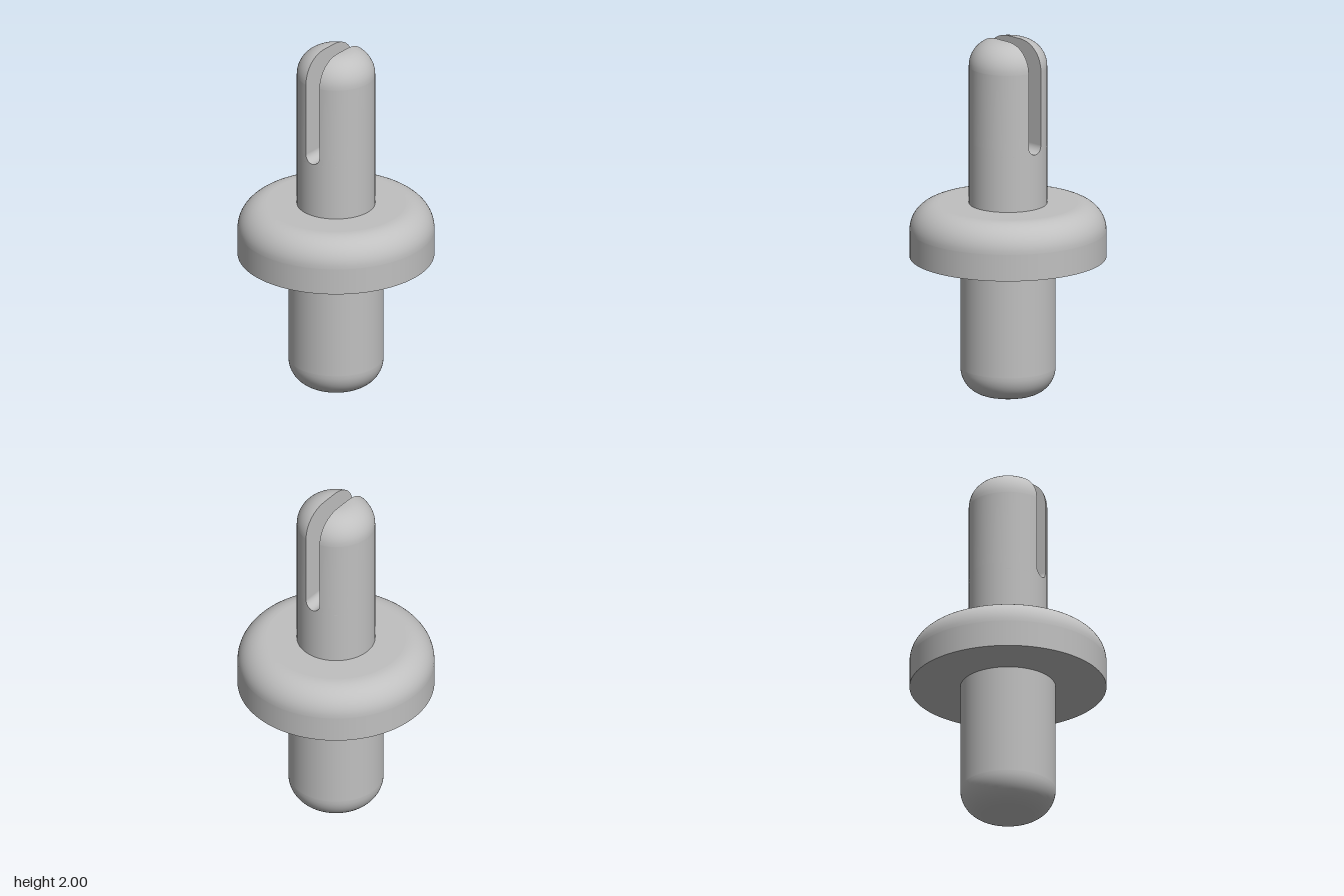
import * as THREE from 'three';

const PIN_R = 0.26, FLANGE_R = 0.537, SHAFT_R = 0.214;
const FLANGE_Y = 0.773, FLANGE_TOP = 1.076, TOP = 2, FILLET = 0.152;
const SLOT_W = 0.046, SLOT_Y = 1.43; // slot half width, centre of its round end

const V2 = (x, y) => new THREE.Vector2(x, y);

// Quarter circle of profile points around (cx, cy)
function arc(cx, cy, r, from, n = 14) {
  return Array.from({ length: n + 1 }, (_, i) => {
    const t = from + (i / n) * Math.PI / 2;
    return V2(cx + r * Math.cos(t), cy + r * Math.sin(t));
  });
}

// Smooth surface through rows of points
function loft(rows) {
  const n = rows[0].length, index = [];
  for (let i = 0; i < rows.length - 1; i++)
    for (let j = 0; j < n - 1; j++) {
      const a = i * n + j, b = a + n;
      index.push(a, b, a + 1, b, b + 1, a + 1);
    }
  const g = new THREE.BufferGeometry().setFromPoints(rows.flat());
  g.setIndex(index);
  g.computeVertexNormals();
  return g;
}

export function createModel() {
  const model = new THREE.Group();
  model.name = 'slottedPin';
  const grey = new THREE.MeshStandardMaterial({ color: 0xc0c0c0 });
  grey.name = 'grey';

  const add = (parent, name, geometry) => {
    const mesh = new THREE.Mesh(geometry, grey);
    mesh.name = name;
    parent.add(mesh);
  };
  const turned = (name, points) => add(model, name, new THREE.LatheGeometry(points, 96));

  // Lower pin with rounded foot
  turned('lowerPin', [V2(0, 0), V2(PIN_R - FILLET - 0.003, 0),
    ...arc(PIN_R - FILLET, FILLET, FILLET, -Math.PI / 2),
    V2(PIN_R, FILLET + 0.003), V2(PIN_R, FLANGE_Y)]);

  // Flange: flat underside, rounded upper rim
  turned('flangeUnderside', [V2(PIN_R, FLANGE_Y), V2(FLANGE_R, FLANGE_Y)]);
  turned('flange', [V2(FLANGE_R, FLANGE_Y), V2(FLANGE_R, FLANGE_TOP - FILLET - 0.003),
    ...arc(FLANGE_R - FILLET, FLANGE_TOP - FILLET, FILLET, 0),
    V2(FLANGE_R - FILLET - 0.003, FLANGE_TOP), V2(SHAFT_R, FLANGE_TOP)]);

  // Solid part of the upper shaft
  turned('upperShaft', [V2(SHAFT_R, FLANGE_TOP), V2(SHAFT_R, SLOT_Y - SLOT_W)]);

  // Prong sections: y, outer radius r, distance h of the slot wall from the middle
  const sections = [];
  for (let i = 0; i <= 12; i++) {
    const t = (i / 12) * Math.PI / 2;
    sections.push({ y: SLOT_Y - SLOT_W * Math.cos(t), r: SHAFT_R, h: SLOT_W * Math.sin(t) });
  }
  for (const p of [V2(SHAFT_R, TOP - FILLET - 0.003), ...arc(SHAFT_R - FILLET, TOP - FILLET, FILLET, 0)])
    sections.push({ y: p.y, r: p.x, h: SLOT_W });

  const N = 48;
  const outerRow = ({ y, r, h }) => {
    const a = Math.acos(h / r);
    return Array.from({ length: N + 1 }, (_, j) => {
      const t = a * (2 * j / N - 1);
      return new THREE.Vector3(r * Math.cos(t), y, r * Math.sin(t));
    });
  };
  const wallRow = (s) => outerRow(s).reverse().map((p) => new THREE.Vector3(s.h, p.y, p.z));
  const end = sections[sections.length - 1];

  // Two prongs, one each side of the slot
  ['leftProng', 'rightProng'].forEach((name, i) => {
    const prong = new THREE.Group();
    prong.name = name;
    prong.rotation.y = i * Math.PI;
    add(prong, 'prongOuter', loft(sections.map(outerRow)));
    add(prong, 'slotWall', loft(sections.map(wallRow)));
    add(prong, 'prongTip', loft([wallRow(end), outerRow(end).reverse()]));
    model.add(prong);
  });

  return model;
}
